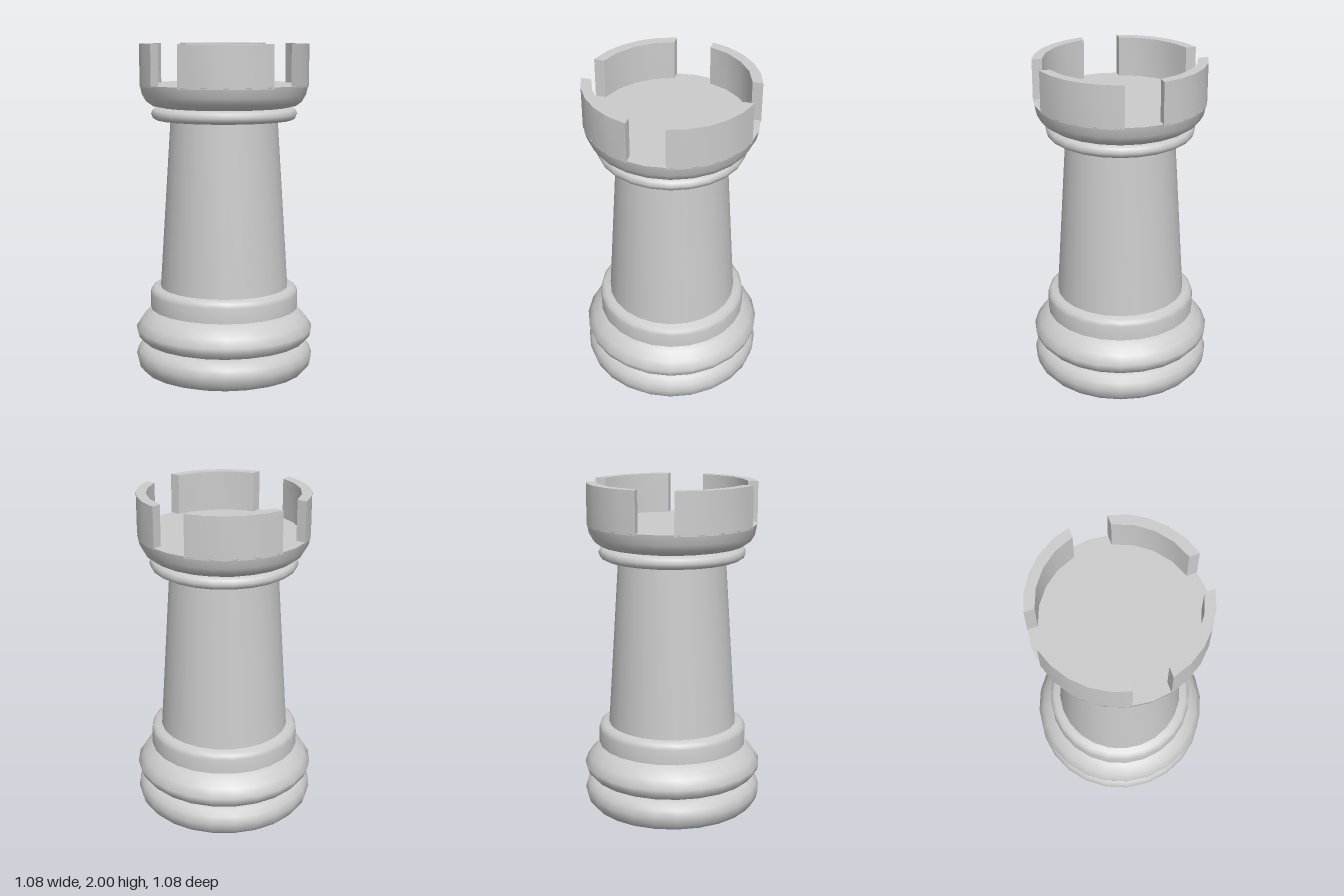
import * as THREE from 'three';
import { toCreasedNormals } from 'three/addons/utils/BufferGeometryUtils.js';

const SEGMENTS = 24;

export function createModel() {
  const group = new THREE.Group();
  const material = new THREE.MeshStandardMaterial({ color: 0xcccccc });

  const add = (name, geometry, crease = 0.7) => {
    const mesh = new THREE.Mesh(toCreasedNormals(geometry, crease), material);
    mesh.name = name;
    group.add(mesh);
    return mesh;
  };

  // Turned part: [radius, height] pairs from bottom to top
  const turned = (name, profile, crease) =>
    add(name, new THREE.LatheGeometry(profile.map(([r, y]) => new THREE.Vector2(r, y)), SEGMENTS), crease);

  // Stacked base mouldings
  turned('lowerBase', [
    [0, 0], [0.46, 0], [0.5, 0.015], [0.53, 0.05], [0.542, 0.1],
    [0.53, 0.145], [0.5, 0.178], [0.46, 0.19], [0, 0.19],
  ], 1);
  turned('upperBase', [
    [0, 0.185], [0.46, 0.19], [0.505, 0.205], [0.535, 0.24], [0.542, 0.275],
    [0.51, 0.325], [0.465, 0.37], [0.41, 0.4], [0, 0.405],
  ], 1);
  turned('baseRing', [
    [0, 0.4], [0.452, 0.4], [0.452, 0.49], [0.446, 0.515], [0.425, 0.53], [0, 0.53],
  ], 1);

  // Tapered shaft
  turned('shaft', [[0.39, 0.52], [0.322, 1.56]]);

  // Thin collar under the head
  turned('collar', [
    [0, 1.55], [0.41, 1.55], [0.43, 1.561], [0.439, 1.585],
    [0.43, 1.608], [0.41, 1.62], [0, 1.62],
  ], 1);

  // Rounded cup with a flat floor
  turned('headCup', [
    [0, 1.615], [0.385, 1.625], [0.435, 1.635], [0.47, 1.66],
    [0.493, 1.7], [0.506, 1.76], [0, 1.76],
  ], 1);

  // Four curved battlements separated by parallel-sided gaps
  const outer = 0.506, inner = 0.447, halfGap = 0.11;
  const arc = (radius, steps) => {
    const start = Math.asin(halfGap / radius);
    const sweep = Math.PI / 2 - 2 * start;
    return Array.from({ length: steps + 1 }, (_, i) => {
      const a = start + (sweep * i) / steps;
      return new THREE.Vector2(radius * Math.cos(a), radius * Math.sin(a));
    });
  };
  const section = new THREE.Shape([...arc(outer, 5), ...arc(inner, 4).reverse()]);
  const battlement = new THREE.ExtrudeGeometry(section, { depth: 0.25, bevelEnabled: false });
  battlement.rotateX(-Math.PI / 2).translate(0, 1.75, 0);
  for (let i = 0; i < 4; i++) {
    add('battlement' + (i + 1), battlement).rotation.y = (i * Math.PI) / 2;
  }

  return group;
}
